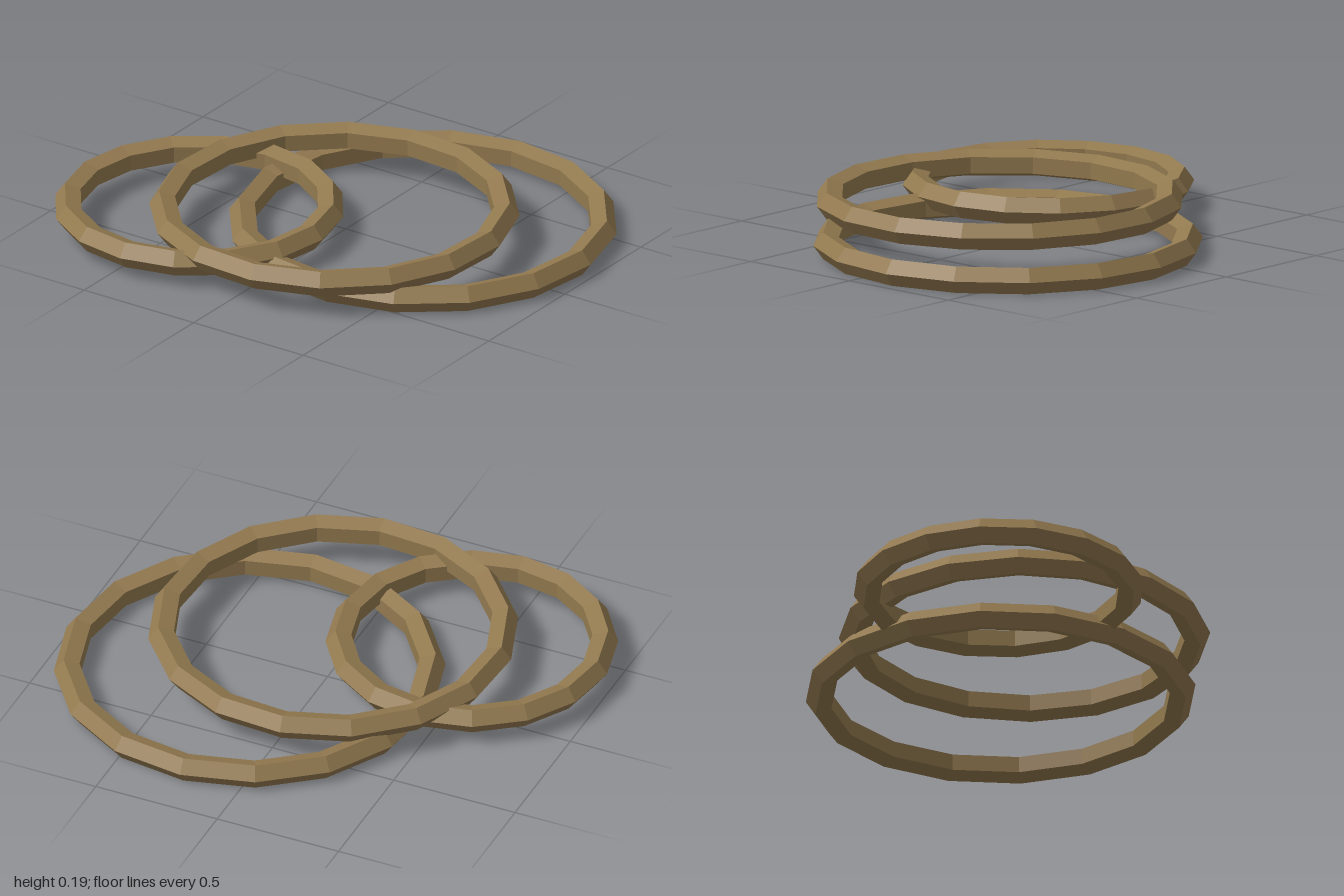
import * as THREE from 'three';

const TUBE = 0.0535;      // radius of the five-sided band section
const SIDES = 5;
const SEGMENTS = 16;

// Faceted ring lying flat; outer is the radius to the outer corners, turn is in degrees
function makeRing(name, outer, turn, position, material) {
  const torus = new THREE.TorusGeometry(outer - TUBE, TUBE, SIDES, SEGMENTS);
  torus.rotateZ(THREE.MathUtils.degToRad(turn));
  torus.rotateX(Math.PI / 2);
  const geometry = torus.toNonIndexed();
  geometry.computeVertexNormals(); // flat facets
  const ring = new THREE.Mesh(geometry, material);
  ring.name = name;
  ring.position.set(...position);
  return ring;
}

export function createModel() {
  const group = new THREE.Group();
  group.name = 'stackedRings';

  const bronze = new THREE.MeshStandardMaterial({ color: 0x92794f });
  bronze.name = 'bronze';

  // Three overlapping rings, each resting a little higher than the last
  group.add(
    makeRing('largeRing', 0.735, -3.6, [0.261, 0.051, -0.132], bronze),
    makeRing('smallRing', 0.549, -2, [-0.453, 0.095, 0.311], bronze),
    makeRing('mediumRing', 0.697, -7.7, [0.031, 0.137, 0.119], bronze),
  );
  return group;
}
